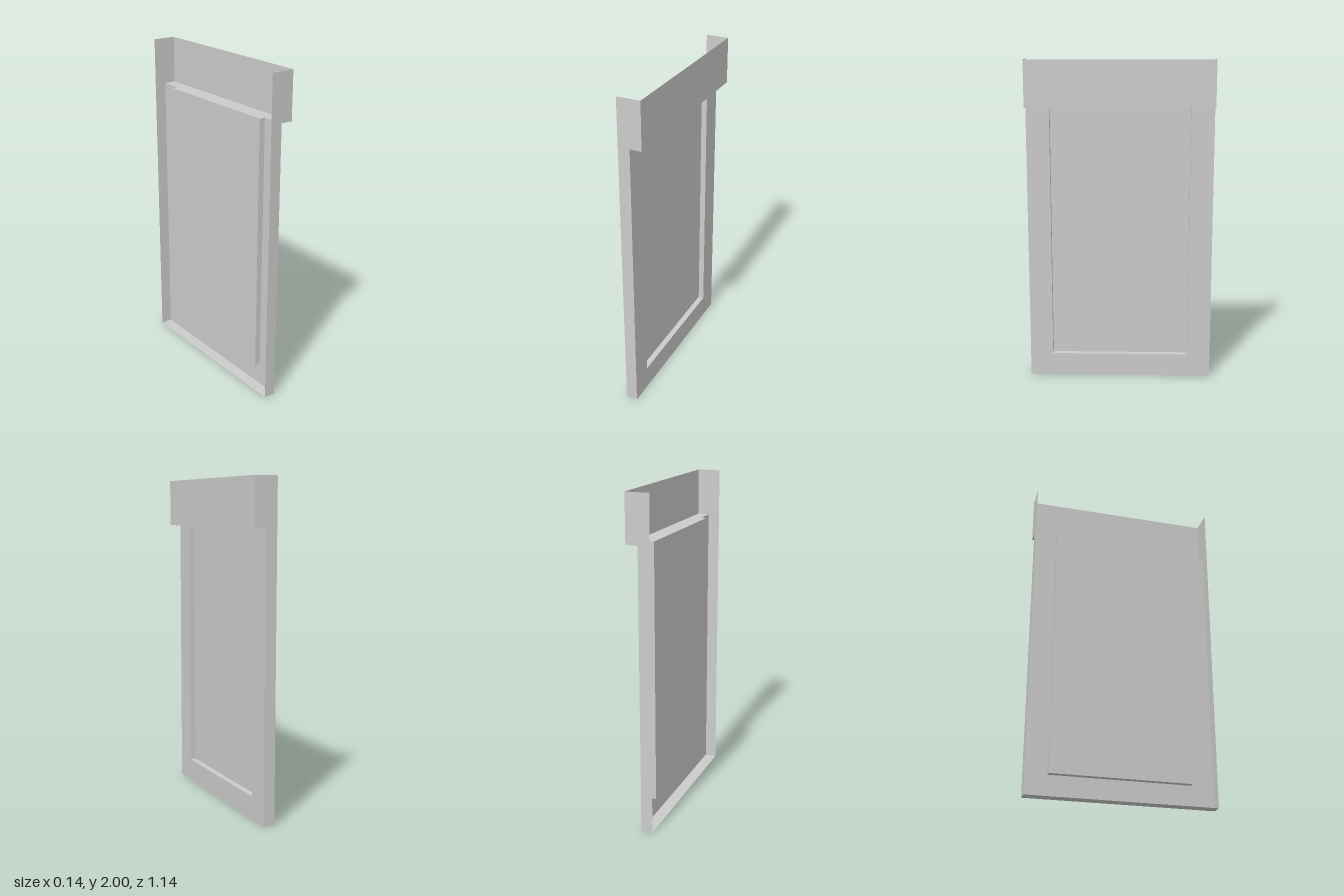
import * as THREE from 'three';

// The whole piece follows a regular module: 28 units tall, 16 wide, 2 deep
const U = 2 / 28;
const BACK = -U, FACE = 0, FRONT = U, RECESS = -U / 2;
const HALF = 8 * U, INNER = 6 * U;
const SILL = 2 * U, LEDGE = 24 * U, TOP = 28 * U;

export function createModel() {
  const group = new THREE.Group();
  // Thin open shell: the back and the top are left open
  const material = new THREE.MeshStandardMaterial({ color: 0xcccccc, side: THREE.DoubleSide });

  const sheet = (points) =>
    new THREE.ShapeGeometry(new THREE.Shape(points.map(([a, b]) => new THREE.Vector2(a, b))));
  const rect = (a0, b0, a1, b1) => [[a0, b0], [a1, b0], [a1, b1], [a0, b1]];
  const add = (name, geometry) => {
    const mesh = new THREE.Mesh(geometry, material);
    mesh.name = name;
    group.add(mesh);
  };
  // Sheets facing +x (points are z, y), -y (points are x, z) and +z (points are x, y)
  const facingX = (name, points, x) => add(name, sheet(points).rotateY(Math.PI / 2).translate(x, 0, 0));
  const facingDown = (name, points, y) => add(name, sheet(points).rotateX(Math.PI / 2).translate(0, y, 0));
  const facingZ = (name, points, z, flip) => {
    const geometry = sheet(points);
    if (flip) geometry.index.array.reverse(), geometry.attributes.normal.array.fill(-1).forEach((_, i, n) => { if (i % 3 < 2) n[i] = 0; });
    add(name, geometry.translate(0, 0, z));
  };

  // Front surfaces: header, U-shaped frame and sunken panel
  facingX('header', rect(-HALF, LEDGE, HALF, TOP), FRONT);
  facingX('frame', [
    [-HALF, 0], [HALF, 0], [HALF, LEDGE], [INNER, LEDGE],
    [INNER, SILL], [-INNER, SILL], [-INNER, LEDGE], [-HALF, LEDGE],
  ], FACE);
  facingX('recessedPanel', rect(-INNER, SILL, INNER, LEDGE), RECESS);

  // Underside of the header, reaching back over the recess
  facingDown('headerUnderside', [
    [FRONT, -HALF], [FRONT, HALF], [FACE, HALF], [FACE, INNER],
    [RECESS, INNER], [RECESS, -INNER], [FACE, -INNER], [FACE, -HALF],
  ], LEDGE);
  facingDown('base', rect(BACK, -HALF, FACE, HALF), 0);

  // Upward-facing lower edge of the recess
  add('recessSill', sheet(rect(RECESS, -INNER, FACE, INNER)).rotateX(-Math.PI / 2).translate(0, SILL, 0));

  // Recess jambs and stepped end walls, mirrored
  const endProfile = [[BACK, 0], [FACE, 0], [FACE, LEDGE], [FRONT, LEDGE], [FRONT, TOP], [BACK, TOP]];
  for (const [side, s] of [['left', 1], ['right', -1]]) {
    facingZ(side + 'EndWall', endProfile, s * HALF, s < 0);
    facingZ(side + 'RecessJamb', rect(RECESS, SILL, FACE, LEDGE), s * INNER, s > 0);
  }
  return group;
}
